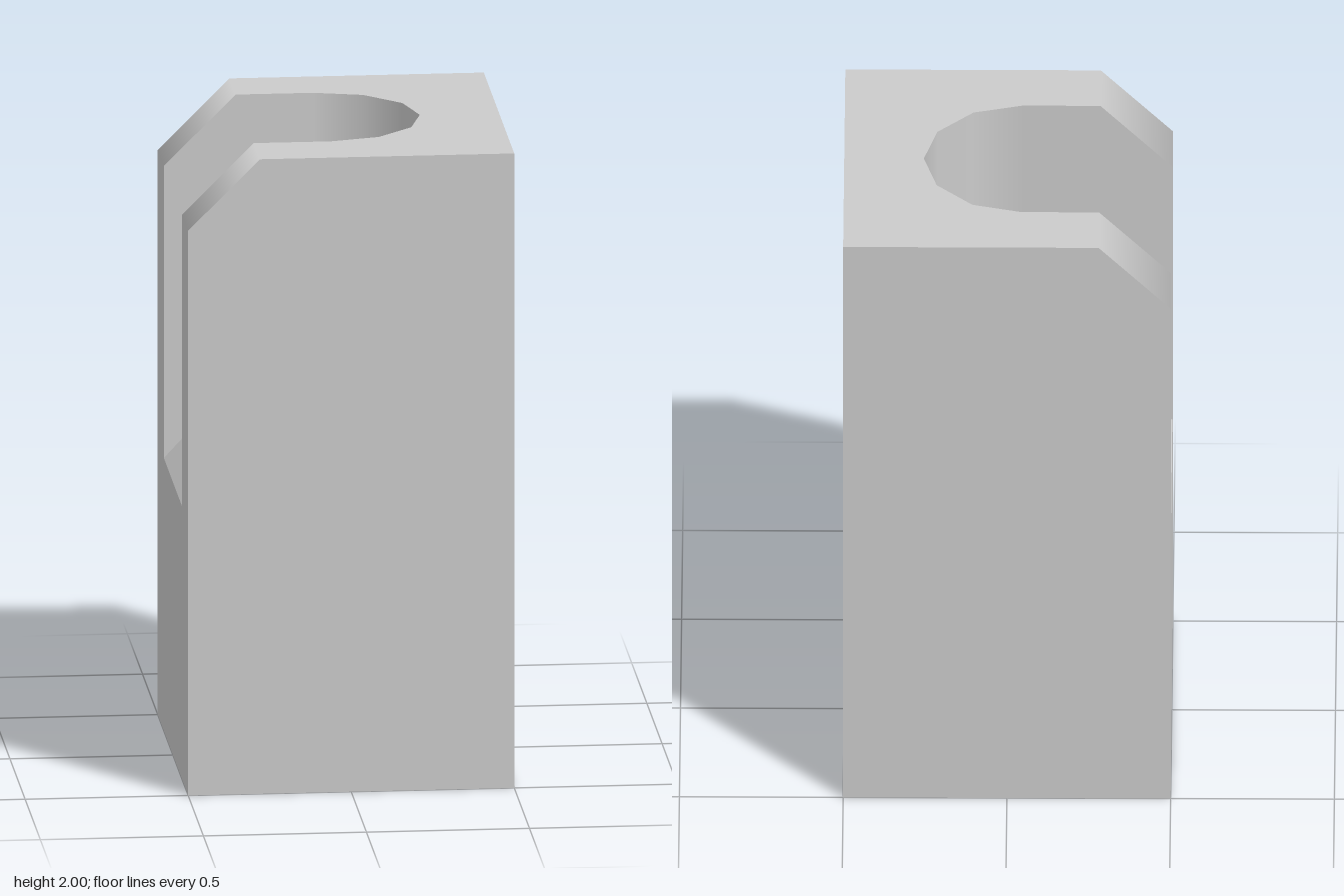
import * as THREE from 'three';
import { mergeGeometries } from 'three/addons/utils/BufferGeometryUtils.js';

const H = 0.5;            // half width of the block
const TOP = 2;
const CHAMFER_X = -0.28, CHAMFER_Y = 1.78;
const POCKET = 0.3;       // half width and end radius of the pocket
const ARC_X = -0.043;     // centre of the rounded end
const FLOOR = 1.18, SHELF = 1.0, LIP = 0.86;

const DOWN = [0, -1, 0], UP = [0, 1, 0], LEFT = [1, 0, 0], RIGHT = [-1, 0, 0];

// Flat polygon through 3D points, turned towards "facing"; normals may be given per corner
function face(points, facing, normals) {
  const v = points.map(p => new THREE.Vector3(...p));
  const f = new THREE.Vector3(...facing).normalize();
  const drop = [0, 1, 2].reduce((a, b) => (Math.abs(facing[b]) > Math.abs(facing[a]) ? b : a), 0);
  const [a, b] = [0, 1, 2].filter(i => i !== drop);
  const flat = points.map(p => new THREE.Vector2(p[a], p[b]));
  const index = [];
  for (const [i, j, k] of THREE.ShapeUtils.triangulateShape(flat, [])) {
    const n = v[j].clone().sub(v[i]).cross(v[k].clone().sub(v[i]));
    index.push(...(n.dot(f) > 0 ? [i, j, k] : [i, k, j]));
  }
  const g = new THREE.BufferGeometry();
  g.setAttribute('position', new THREE.Float32BufferAttribute(points.flat(), 3));
  g.setAttribute('normal', new THREE.Float32BufferAttribute((normals || points.map(() => f.toArray())).flat(), 3));
  g.setIndex(index);
  return g;
}

// Vertical quad below the plan points p and q
function wall(p, q, y0, y1, facing, np, nq) {
  const pts = [[p[0], y0, p[1]], [q[0], y0, q[1]], [q[0], y1, q[1]], [p[0], y1, p[1]]];
  return face(pts, facing, np && [np, nq, nq, np]);
}

const atHeight = (plan, y) => plan.map(([x, z]) => [x, y, z]);
const atDepth = (profile, z) => profile.map(([x, y]) => [x, y, z]);

export function createModel() {
  const group = new THREE.Group();
  const material = new THREE.MeshStandardMaterial({ color: 0xcccccc });
  const add = (name, faces) => {
    const mesh = new THREE.Mesh(mergeGeometries(faces), material);
    mesh.name = name;
    group.add(mesh);
  };

  // Plan of the rounded pocket end, from +z round to -z
  const arcNormals = [], arc = [];
  for (let i = 0; i <= 6; i++) {
    const t = Math.PI / 2 - (i * Math.PI) / 6;
    arcNormals.push([-Math.cos(t), 0, -Math.sin(t)]);
    arc.push([ARC_X + POCKET * Math.cos(t), POCKET * Math.sin(t)]);
  }
  // Plan of the notched step, from -z to +z
  const step = [[-0.37, -0.3], [-0.37, -0.213], [-0.3, -0.145], [-0.3, 0.145], [-0.37, 0.213], [-0.37, 0.3]];

  // Outer block
  const profile = [[-H, 0], [H, 0], [H, TOP], [CHAMFER_X, TOP], [-H, CHAMFER_Y]];
  const square = [[-H, -H], [H, -H], [H, H], [-H, H]];
  add('blockSides', [
    face(atDepth(profile, H), [0, 0, 1]),
    face(atDepth(profile, -H), [0, 0, -1]),
    face(atHeight(square, 0), DOWN),
    wall([H, -H], [H, H], 0, TOP, LEFT),
    face([[-H, 0, -H], [-H, 0, H], [-H, CHAMFER_Y, H], [-H, CHAMFER_Y, POCKET], [-H, LIP, POCKET],
      [-H, LIP, -POCKET], [-H, CHAMFER_Y, -POCKET], [-H, CHAMFER_Y, -H]], RIGHT),
  ]);
  add('blockTop', [face(atHeight([[CHAMFER_X, POCKET], ...arc, [CHAMFER_X, -POCKET],
    [CHAMFER_X, -H], [H, -H], [H, H], [CHAMFER_X, H]], TOP), UP)]);

  // Softly shaded bevel on both sides of the opening
  add('topBevel', [1, -1].map(s => face(
    [[-H, CHAMFER_Y, s * POCKET], [-H, CHAMFER_Y, s * H], [CHAMFER_X, TOP, s * H], [CHAMFER_X, TOP, s * POCKET]],
    [-1, 1, 0], [RIGHT, RIGHT, UP, UP])));

  // Pocket walls
  const cheek = [[-H, LIP], [-H, CHAMFER_Y], [CHAMFER_X, TOP], [ARC_X, TOP], [ARC_X, FLOOR], [-0.37, FLOOR], [-0.37, SHELF]];
  const roundWall = arc.slice(1).map((q, i) => wall(arc[i], q, FLOOR, TOP,
    arcNormals[i].map((n, k) => n + arcNormals[i + 1][k]), arcNormals[i], arcNormals[i + 1]));
  add('pocketWalls', [...roundWall, ...[1, -1].map(s => face(atDepth(cheek, s * POCKET), [0, 0, -s]))]);

  // Pocket floor, notched step, shelf and sloping lip
  add('pocketFloor', [face(atHeight([...step, ...arc], FLOOR), UP)]);
  add('floorStep', step.slice(1).map((q, i) => {
    const p = step[i];
    return wall(p, q, SHELF, FLOOR, [p[1] - q[1], 0, q[0] - p[0]]);
  }));
  add('shelf', [face(atHeight(step.slice(1, 5), SHELF), UP)]);
  add('slopingLip', [face([[-H, LIP, -POCKET], [-H, LIP, POCKET],
    ...[5, 4, 1, 0].map(i => [step[i][0], SHELF, step[i][1]])], [LIP - SHELF, 0.13, 0])]);

  return group;
}
